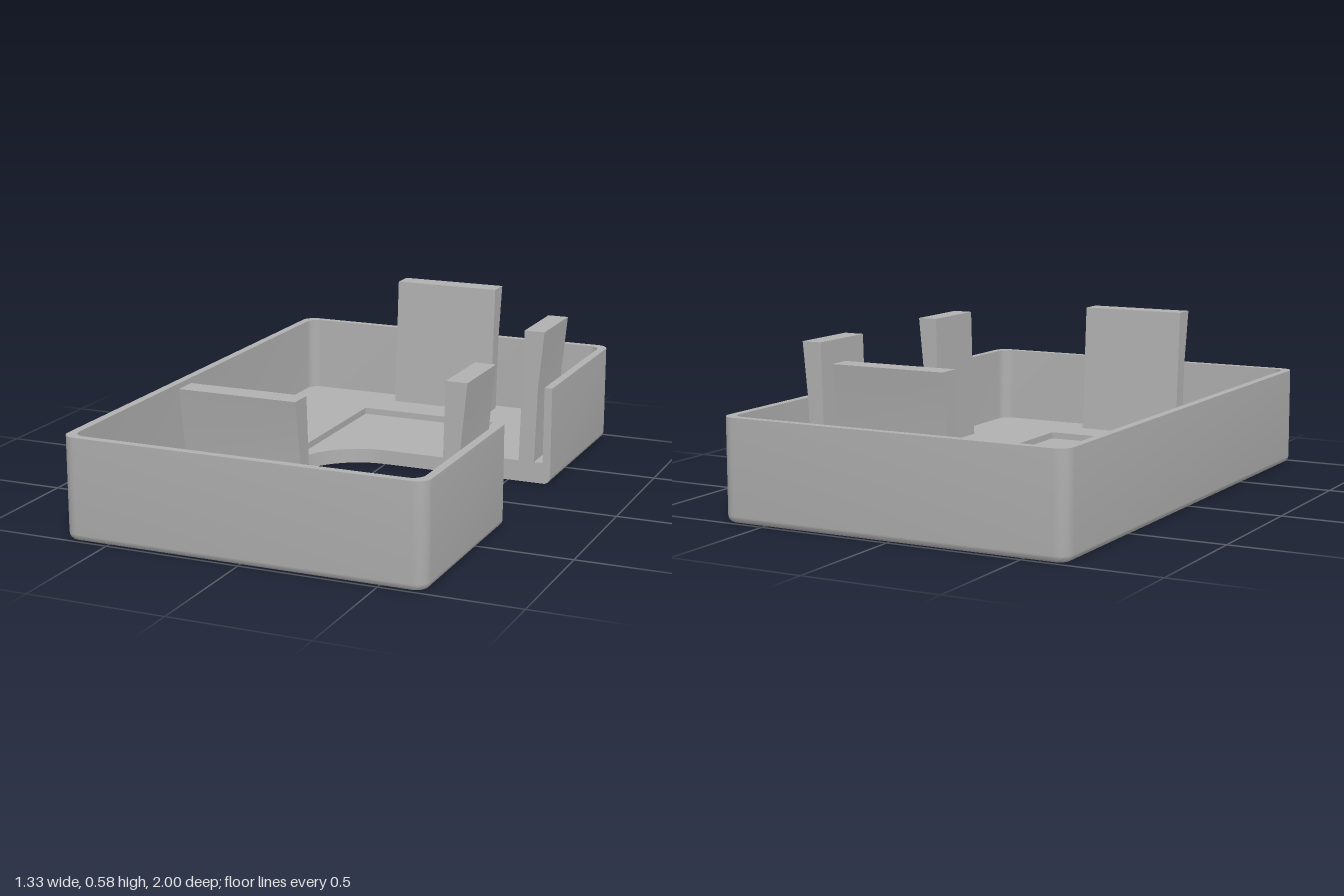
import * as THREE from 'three';
import { toCreasedNormals } from 'three/addons/utils/BufferGeometryUtils.js';

const HX = 0.665, HZ = 1, HEIGHT = 0.37, WALL = 0.03;
const GAP = 0.265;          // half width of the opening
const R = 0.05, INNER_R = 0.045, FILLET = 0.025;
const FLOOR = 0.08, POCKET = 0.055;

// Rounded outline from one side of the opening round to the other, as [x, z]
function outline(inset, r) {
  const pts = [[HX - inset, GAP]];
  [[1, 1], [-1, 1], [-1, -1], [1, -1]].forEach(([sx, sz], q) => {
    for (let k = 0; k <= 6; k++) {
      const a = (q + k / 6) * Math.PI / 2;
      pts.push([sx * (HX - inset - r) + r * Math.cos(a), sz * (HZ - inset - r) + r * Math.sin(a)]);
    }
  });
  pts.push([HX - inset, -GAP]);
  return pts;
}

// Wall: a profile with a rounded bottom edge, swept along the outline
function wallGeometry() {
  const rings = [];
  const addRing = (inset, y, r) => rings.push(outline(inset, r).map(([x, z]) => [x, y, z]));
  for (let k = 0; k <= 5; k++) {
    const a = k / 5 * Math.PI / 2;
    const inset = FILLET * (1 - Math.sin(a));
    addRing(inset, FILLET * (1 - Math.cos(a)), R - inset);
  }
  addRing(0, HEIGHT, R);
  addRing(WALL, HEIGHT, INNER_R);
  addRing(WALL, 0, INNER_R);

  const pos = [];
  const tri = (a, b, c) => pos.push(...a, ...b, ...c);
  const n = rings[0].length, m = rings.length;
  for (let j = 0; j < m; j++) {
    const p = rings[j], q = rings[(j + 1) % m];
    for (let i = 0; i < n - 1; i++) {
      tri(p[i], q[i], p[i + 1]);
      tri(q[i], q[i + 1], p[i + 1]);
    }
  }
  // Flat ends at the opening
  for (let j = 1; j < m - 1; j++) {
    tri(rings[0][0], rings[j + 1][0], rings[j][0]);
    tri(rings[0][n - 1], rings[j][n - 1], rings[j + 1][n - 1]);
  }
  const g = new THREE.BufferGeometry();
  g.setAttribute('position', new THREE.Float32BufferAttribute(pos, 3));
  return toCreasedNormals(g, 0.6);
}

function extrude(points, depth) {
  const shape = new THREE.Shape(points.map(([x, y]) => new THREE.Vector2(x, y)));
  return toCreasedNormals(new THREE.ExtrudeGeometry(shape, { depth, bevelEnabled: false }), 0.6);
}

// Floor layer: the outline closed by one half of the inner edge and its mirror image
function floorLayer(halfEdge, y0, y1) {
  const mirrored = halfEdge.map(([x, z]) => [x, -z]).reverse();
  const g = extrude([...outline(WALL, INNER_R), ...mirrored, ...halfEdge], y1 - y0);
  return g.rotateX(-Math.PI / 2).translate(0, y0, 0);
}

export function createModel() {
  const model = new THREE.Group();
  const grey = new THREE.MeshStandardMaterial({ color: 0xb0b0b0 });
  grey.name = 'grey plastic';
  const add = (name, geometry) => {
    const mesh = new THREE.Mesh(geometry, grey);
    mesh.name = name;
    model.add(mesh);
    return mesh;
  };

  add('wall', wallGeometry());

  // Lower floor with the round-ended slot and its side notches
  const notch = [[0.275, 0.395], [0.4, 0.395], [0.4, GAP]];
  const arc = [];
  for (let k = 0; k <= 20; k++) {
    const a = Math.PI - k / 20 * Math.PI / 2;
    arc.push([GAP * Math.cos(a), GAP * Math.sin(a)]);
  }
  arc.shift();
  add('floorBase', floorLayer([[-GAP, 0.0001], ...arc, [0.275, GAP], ...notch], 0, POCKET));

  // Upper floor leaves out the shallow rectangular pocket
  add('floorRim', floorLayer([[-0.28, 0.725], [0.275, 0.725], ...notch], POCKET, FLOOR));

  // Snap clips beside the opening, leaning outward
  const sideProfile = [[0.54, POCKET], [0.6, POCKET], [0.61, HEIGHT], [0.63, 0.58], [0.553, 0.58]];
  for (const z of [GAP, -0.545]) {
    add(z > 0 ? 'sideClipFront' : 'sideClipBack', extrude(sideProfile, 0.28).translate(0, 0, z));
  }

  // Wide snap clips at the front and back
  const endProfile = [[0.872, POCKET], [0.935, POCKET], [0.955, HEIGHT], [0.99, 0.58], [0.905, 0.58]];
  for (const s of [1, -1]) {
    add(s > 0 ? 'endClipFront' : 'endClipBack',
      extrude(endProfile, 0.42).translate(0, 0, -0.21).rotateY(-s * Math.PI / 2));
  }
  return model;
}
